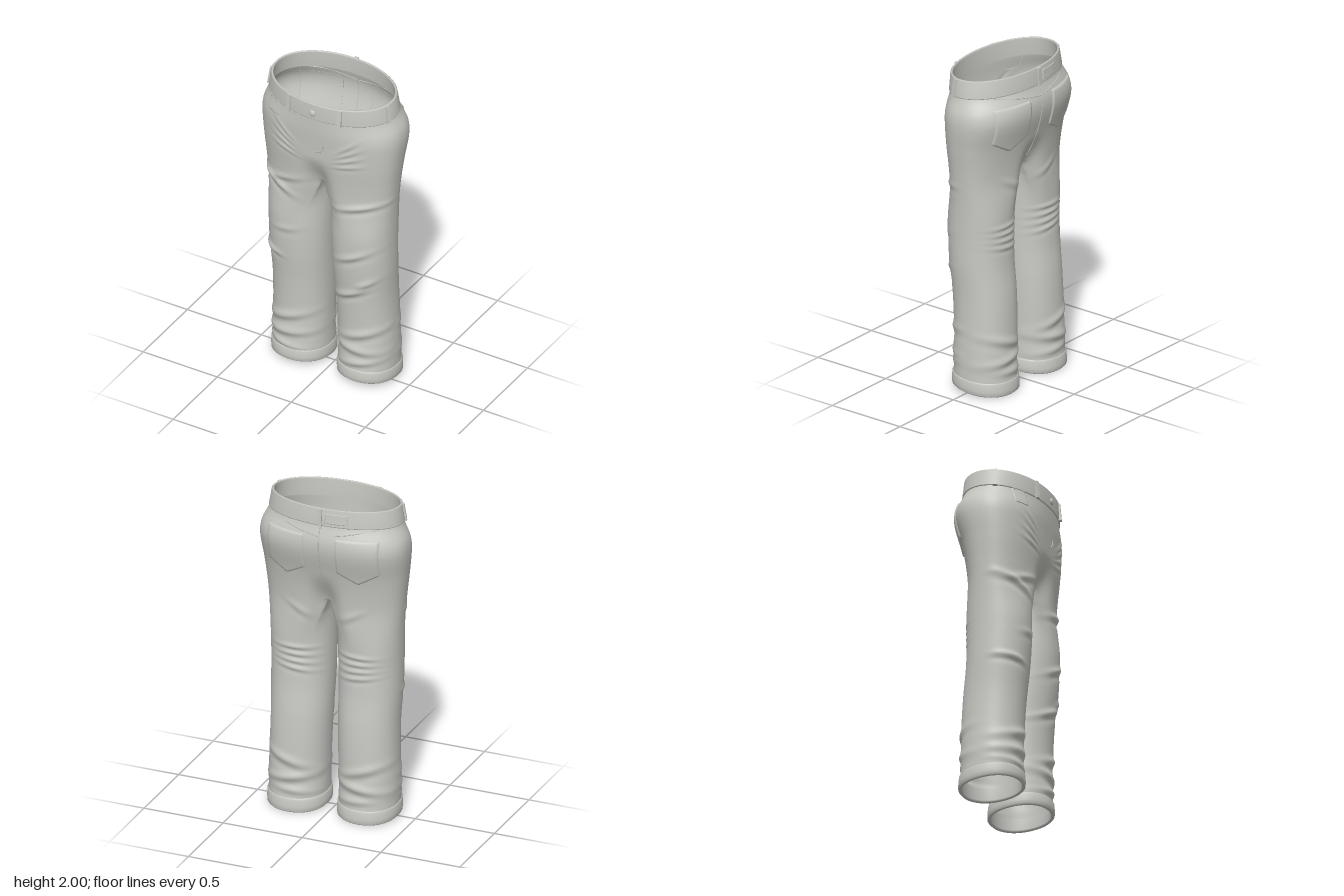
import * as THREE from 'three';
import { mergeGeometries, mergeVertices } from 'three/addons/utils/BufferGeometryUtils.js';

const fabric = new THREE.MeshStandardMaterial({ color: 0xc8c8c3, side: THREE.DoubleSide });
fabric.name = 'greyFabric';

const { lerp, smoothstep } = THREE.MathUtils;
const CROTCH = 1.37, K = 72, J = 30;

// height, outer x, front z, back z
const PROFILE = [
  [0, .398, .165, -.208], [.2, .4, .163, -.2], [.4, .394, .165, -.198], [.6, .392, .177, -.188],
  [.8, .4, .198, -.168], [1, .403, .208, -.164], [1.2, .41, .206, -.174], [1.4, .426, .22, -.19],
  [1.55, .443, .235, -.215], [1.7, .458, .245, -.258], [1.78, .45, .25, -.262],
  [1.88, .408, .252, -.236], [2, .388, .252, -.226],
];

// Smooth interpolation of the profile at a height
function section(y) {
  const P = PROFILE, last = P.length - 1;
  let i = 0;
  while (i < last - 1 && y > P[i + 1][0]) i++;
  const h = P[i + 1][0] - P[i][0], t = (y - P[i][0]) / h;
  const slope = (k, c) => {
    const a = P[Math.max(k - 1, 0)], b = P[Math.min(k + 1, last)];
    return (b[c] - a[c]) / (b[0] - a[0]);
  };
  const at = c => (2 * t ** 3 - 3 * t * t + 1) * P[i][c] + (t ** 3 - 2 * t * t + t) * h * slope(i, c)
    + (3 * t * t - 2 * t ** 3) * P[i + 1][c] + (t ** 3 - t * t) * h * slope(i + 1, c);
  const zf = at(2), zb = at(3);
  return { xo: at(1), zm: (zf + zb) / 2, rz: (zf - zb) / 2, n: lerp(2.4, 2.05, smoothstep(y, 1.7, 1.9)) };
}

const power = (v, e) => Math.sign(v) * Math.abs(v) ** e;
const tiltY = (y, z) => y - .073 * z * smoothstep(y, 1.5, 1.88) + .08 * z * (1 - smoothstep(y, 0, .3));
// Hollow running up from the crotch at the front and back centre
const cleft = (x, y) => .07 * Math.exp(-((x / .075) ** 2)) * (1 - smoothstep(y, 1.32, 1.58));

function hipPoint(phi, y, off = 0) {
  const s = section(y);
  const x = (s.xo + off) * power(Math.sin(phi), 2 / s.n);
  const c = Math.cos(phi);
  const z = s.zm + (s.rz + off) * power(c, 2 / s.n) - c * cleft(x, y);
  return new THREE.Vector3(Math.abs(x) < 1e-6 ? 0 : x, tiltY(y, z), z);
}

// Point on the hips seen straight from the front (face 1) or back (face -1)
function onHips(x, y, face, off) {
  const s = section(y);
  const r = Math.max(0, 1 - Math.abs(x / s.xo) ** s.n) ** (1 / s.n);
  const z = s.zm + face * (s.rz * r + off - cleft(x, y));
  return new THREE.Vector3(x, tiltY(y, z), z);
}

// Closed ring of the +x leg, blending from a D shape at the crotch to an oval
function legRing(y, off = 0) {
  const s = section(y), drop = CROTCH - y, ring = [];
  const xi = .02 * Math.sqrt(Math.min(1, Math.max(0, drop) / .1)) + .024 * smoothstep(drop, .2, 1.3);
  const w = smoothstep(drop, 0, .34), cx = (s.xo + xi) / 2, rx = (s.xo - xi) / 2 + off;
  const front = hipPoint(0, y).z, back = hipPoint(Math.PI, y).z;
  for (let j = 0; j < K + J; j++) {
    const outer = j <= K, t = outer ? j / K : (j - K) / J;
    const a = outer ? lerp(-.5, Math.PI + .5, t) : lerp(Math.PI + .5, 2 * Math.PI - .5, t);
    const d = outer ? hipPoint(Math.PI * t, y) : new THREE.Vector3(0, y, lerp(back, front, t));
    const x = lerp(Math.max(d.x, xi), cx + rx * power(Math.sin(a), .92), w);
    const z = lerp(d.z, s.zm + (s.rz + off) * power(Math.cos(a), .92), w);
    ring.push(new THREE.Vector3(x, tiltY(y, z), z));
  }
  return ring;
}

// Skin between rows of points; flip reverses the facing
function skin(rows, closed, flip = false) {
  const n = rows[0].length, idx = [];
  for (let i = 0; i < rows.length - 1; i++)
    for (let j = 0; j < (closed ? n : n - 1); j++) {
      const k = (j + 1) % n, a = i * n + j, b = i * n + k, c = a + n, d = b + n;
      idx.push(...(flip ? [a, b, c, b, d, c] : [a, c, b, b, c, d]));
    }
  const g = new THREE.BufferGeometry();
  g.setAttribute('position', new THREE.Float32BufferAttribute(rows.flat().flatMap(p => p.toArray()), 3));
  g.setIndex(idx);
  g.computeVertexNormals();
  return g;
}
const mirrored = rows => rows.map(r => r.map(p => new THREE.Vector3(-p.x, p.y, p.z)));

// Cloth folds: x, y, face, slope angle, half length, half width, height
const FOLDS = [
  [.26, 1.27, 1, .25, .13, .02, .012], [.22, .92, 1, .45, .11, .02, .011], [.2, .65, 1, .45, .12, .02, .013],
  [.3, .74, 1, .5, .06, .02, .01], [.25, .36, 1, .3, .13, .025, .012], [.22, .25, 1, -.1, .14, .025, .012],
  [.24, .16, 1, .2, .13, .02, .01], [-.3, 1.28, 1, -.35, .12, .022, .013], [-.24, 1.33, 1, .3, .12, .02, .009],
  [-.33, .79, 1, -.15, .07, .018, .013], [-.25, .33, 1, .3, .14, .025, .013], [-.25, .22, 1, .12, .15, .024, .012],
  [-.25, .13, 1, -.1, .13, .018, .009], [-.22, .98, 1, .2, .08, .02, .006],
];
for (const s of [1, -1]) {
  for (let i = 0; i < 4; i++) {
    FOLDS.push([s * .2, 1.56 + i * .045, 1, s * (.2 + i * .16), .085, .012, .006]);
    FOLDS.push([s * .2, .91 + i * .045, -1, s * (.15 - i * .05), .1, .013, .009]);
  }
  FOLDS.push([s * .23, .33, -1, s * .3, .13, .025, .012], [s * .22, .22, -1, -s * .15, .15, .025, .013],
    [s * .2, .14, -1, s * .1, .12, .02, .009], [s * .16, 1.3, -1, s * .5, .08, .02, .006]);
}

function addFolds(g) {
  const p = g.attributes.position, nor = g.attributes.normal;
  for (let i = 0; i < p.count; i++) {
    const x = p.getX(i), y = p.getY(i);
    let d = 0;
    for (const [fx, fy, face, a, len, wid, h] of FOLDS) {
      const u = (x - fx) * Math.cos(a) + (y - fy) * Math.sin(a);
      const v = (y - fy) * Math.cos(a) - (x - fx) * Math.sin(a);
      const side = smoothstep(nor.getZ(i) * face, -.15, .35);
      d += side * h * Math.exp(-((u / len) ** 2)) * (Math.exp(-((v / wid) ** 2)) - .4 * Math.exp(-(((v + 1.8 * wid) / wid) ** 2)));
    }
    if (Math.abs(x) < .06) d *= smoothstep(Math.abs(x), .02, .06);
    d *= smoothstep(y, .05, .12);
    p.setXYZ(i, x + nor.getX(i) * d, y + nor.getY(i) * d, p.getZ(i) + nor.getZ(i) * d);
  }
  g.computeVertexNormals();
  return g;
}

// Raised patch that follows the hips, with its border pressed to the cloth
function patch(x0, x1, bottom, top, face, off, base = 0) {
  const N = 16, ts = [0, .015];
  for (let i = 1; i < N; i++) ts.push(i / N);
  ts.push(.985, 1);
  const rows = ts.map((v, i) => ts.map((u, j) => {
    const edge = i === 0 || j === 0 || i === ts.length - 1 || j === ts.length - 1;
    return onHips(lerp(x0, x1, u), lerp(top(u), bottom(u), v), face, base + (edge ? -.003 : off));
  }));
  return skin(rows, false, face < 0);
}

export function createModel() {
  const model = new THREE.Group();
  model.name = 'trousers';
  const add = (name, geo, parent = model) => {
    const m = new THREE.Mesh(geo, fabric);
    m.name = name;
    parent.add(m);
    return m;
  };

  // Hips and legs as one smooth cloth
  const hipRows = [], legRows = [];
  for (let i = 0; i <= 44; i++) {
    const y = lerp(1.885, CROTCH, i / 44);
    hipRows.push(Array.from({ length: K + 1 }, (_, j) => hipPoint(Math.PI * j / K, y)));
  }
  for (let i = 0; i <= 130; i++) legRows.push(legRing(lerp(CROTCH, .03, (i / 130) ** 1.2)));
  const cloth = mergeGeometries([
    skin(hipRows, false), skin(mirrored(hipRows), false, true),
    skin(legRows, true), skin(mirrored(legRows), true, true),
  ]);
  cloth.deleteAttribute('normal');
  const body = mergeVertices(cloth, 1e-4);
  body.computeVertexNormals();
  add('hipsAndLegs', addFolds(body));

  // Turned hems
  const hem = [[.1, 0], [.092, .007], [.05, .009], [.026, .008], [.018, 0], [.02, -.01], [.03, -.014], [.1, -.012]]
    .map(([y, off]) => legRing(y, off));
  add('leftHem', skin(hem, true));
  add('rightHem', skin(mirrored(hem), true, true));

  // Waistband with thickness
  const band = [[1.87, -.01], [1.976, -.008], [1.983, -.003], [1.983, .003], [1.977, .008], [1.88, .008], [1.875, .005], [1.874, -.004]]
    .map(([y, off]) => Array.from({ length: 144 }, (_, j) => hipPoint(Math.PI * 2 * j / 144, y, off)));
  add('waistband', skin(band, true));

  // Belt loops
  const loops = new THREE.Group();
  loops.name = 'beltLoops';
  model.add(loops);
  for (const phi of [.417, -.417, 1.34, -1.34, Math.PI]) {
    const p = hipPoint(phi, 1.925, .01), q = hipPoint(phi + .02, 1.925, .01), r = hipPoint(phi - .02, 1.925, .01);
    const m = add('beltLoop', new THREE.BoxGeometry(.025, .108, .018), loops);
    m.position.copy(p);
    m.rotation.set(-.04 - .12 * Math.abs(Math.sin(phi)), Math.atan2(r.z - q.z, q.x - r.x), 0, 'YXZ');
  }

  // Button and coin pocket rivets
  const stud = (name, x, y, r, off) => {
    const m = add(name, new THREE.SphereGeometry(r, 20, 12));
    m.position.copy(onHips(x, y, 1, off));
    m.scale.z = .45;
  };
  stud('button', 0, 1.92, .021, .01);
  for (const x of [-.328, -.27]) stud('rivet', x, 1.875, .008, .006);

  // Pockets and waist patch
  add('coinPocket', patch(-.34, -.255, () => 1.785, () => 1.882, 1, .004));
  for (const s of [1, -1]) {
    const a = s > 0 ? .1 : -.35, b = s > 0 ? .35 : -.1;
    add('backPocket', patch(a, b, u => 1.53 + .07 * Math.abs(2 * u - 1), () => 1.81, -1, .009));
  }
  add('waistPatch', patch(-.17, -.03, () => 1.895, () => 1.955, -1, .005, .008));

  // Raised seams
  const seam = (name, face, pts) => add(name, new THREE.TubeGeometry(
    new THREE.CatmullRomCurve3(pts.map(([x, y]) => onHips(x, y, face, .001))), 40, .0035, 6));
  for (const s of [1, -1]) seam('yokeSeam', -1, [[0, 1.81], [s * .1, 1.826], [s * .2, 1.845], [s * .32, 1.872]]);
  seam('backSeam', -1, [[0, 1.87], [0, 1.75], [0, 1.62], [0, 1.5], [0, 1.42]]);
  seam('flySeam', 1, [[.06, 1.69], [.058, 1.66], [.04, 1.635], [.005, 1.62]]);
  return model;
}
